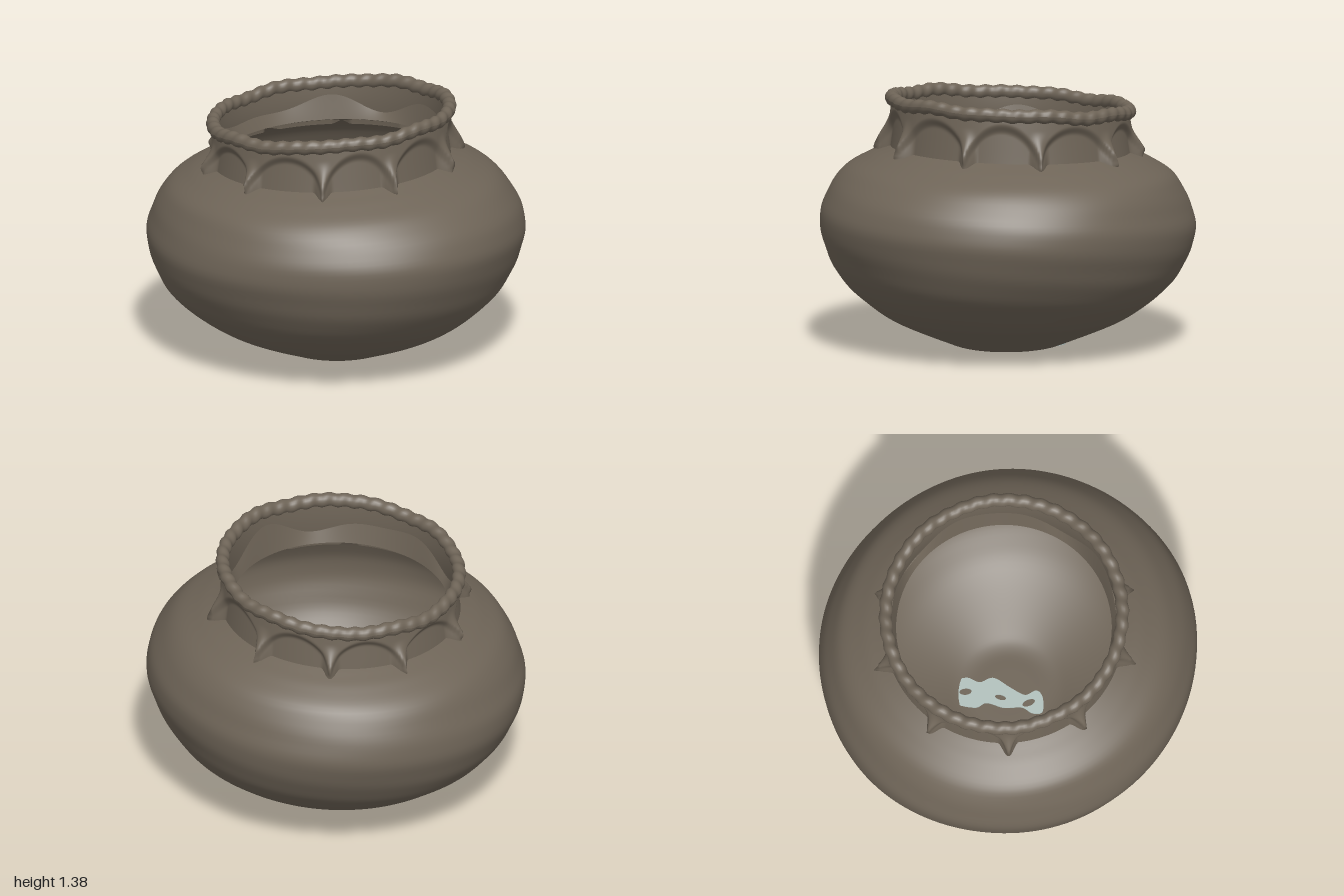
import * as THREE from 'three';

const clay = new THREE.MeshStandardMaterial({ color: 0x6e6457, side: THREE.DoubleSide });
clay.name = 'brown clay';
const pale = new THREE.MeshStandardMaterial({ color: 0xb2c1bd, side: THREE.DoubleSide });
pale.name = 'pale patch';

const step = THREE.MathUtils.smoothstep;

// Hand-made lean: places a ring point (radius, angle, height) on the slightly tilted pot
function place(r, a, y) {
  const up = step(y, 0.75, 1.03);
  const x = r * Math.cos(a) - 0.03 * up;
  const z = r * Math.sin(a) * (0.977 + 0.035 * up) - 0.005;
  const slope = 0.04 * step(y, 0.0, 0.6) + 0.05 * step(y, 1.0, 1.27);
  return [x, y + slope * x, z];
}

// Closed-around surface; f(angle, v) returns [radius, height]
function ringSurface(name, around, rows, f) {
  const pos = [], index = [];
  for (let j = 0; j <= rows; j++) {
    for (let i = 0; i < around; i++) {
      const a = (i / around) * Math.PI * 2;
      const [r, y] = f(a, j / rows);
      pos.push(...place(r, a, y));
    }
  }
  for (let j = 0; j < rows; j++) {
    for (let i = 0; i < around; i++) {
      const n = (i + 1) % around;
      const p = j * around + i, q = j * around + n, s = p + around, t = q + around;
      index.push(p, s, q, q, s, t);
    }
  }
  const g = new THREE.BufferGeometry();
  g.setAttribute('position', new THREE.Float32BufferAttribute(pos, 3));
  g.setIndex(index);
  g.computeVertexNormals();
  const mesh = new THREE.Mesh(g, clay);
  mesh.name = name;
  return mesh;
}

// Rib directions around the neck, in degrees from +x towards +z
const ribs = [24, 57, 94, 130, 167, 204, 238, 273, 312, 346];

// Distance from the middle of an arch (0) to its rib (1)
function archPosition(a) {
  const d = THREE.MathUtils.radToDeg(a);
  for (let i = 0; i < ribs.length; i++) {
    const from = ribs[i];
    const to = i + 1 < ribs.length ? ribs[i + 1] : ribs[0] + 360;
    const e = d < from && i === ribs.length - 1 ? d + 360 : d;
    if (e >= from && e <= to) return Math.abs((2 * (e - from)) / (to - from) - 1);
  }
  return 1;
}

export function createModel() {
  const pot = new THREE.Group();
  pot.name = 'pot';

  // Rounded body, a single shell with gentle hand-worked unevenness
  const profile = new THREE.SplineCurve([
    [0, 0.005], [0.13, 0.005], [0.25, 0.008], [0.36, 0.045], [0.62, 0.155], [0.77, 0.255],
    [0.88, 0.36], [0.955, 0.49], [0.997, 0.645], [0.965, 0.78], [0.87, 0.915],
    [0.75, 0.99], [0.66, 1.03], [0.6, 1.055],
  ].map(([x, y]) => new THREE.Vector2(x, y)));
  pot.add(ringSurface('body', 144, 70, (a, v) => {
    const p = profile.getPoint(v);
    const worked = step(p.y, 0.05, 0.35) * (1 - step(p.y, 0.85, 1.0));
    const bump = Math.sin(a * 5 + p.y * 9) * 0.003 + Math.sin(a * 3 - p.y * 45) * 0.0015;
    return [Math.max(0, p.x + bump * worked), p.y];
  }));

  // Neck with pinched ribs and recessed arches between them
  pot.add(ringSurface('neck', 480, 36, (a, v) => {
    const u = archPosition(a);
    const arch = 0.8 * Math.sqrt(Math.max(0, 1 - u * u));
    const recess = 0.026 * step(arch - v, -0.06, 0.14);
    const foot = 0.06 * step(u, 0.72, 1) * (1 - step(v, 0.02, 0.75));
    return [0.652 - 0.037 * v - recess + foot, 1.02 + 0.25 * v];
  }));

  // Twisted rope-like rim
  pot.add(ringSurface('rim', 400, 20, (a, v) => {
    const b = v * Math.PI * 2;
    const twist = 1 + 0.1 * Math.sin(a * 46 + b * 1);
    const wobble = 0.005 * Math.sin(a * 7 + 1) + 0.003 * Math.sin(a * 11);
    return [0.615 + 0.033 * twist * Math.cos(b), 1.278 + wobble + 0.036 * twist * Math.sin(b)];
  }));

  // Inside wall of the neck
  pot.add(ringSurface('innerNeck', 120, 8, (a, v) => [
    0.597 - 0.006 * Math.sin(v * Math.PI), 1.08 + 0.2 * v,
  ]));

  // Ragged clay collar around the throat
  pot.add(ringSurface('innerCollar', 160, 8, (a, v) => {
    const top = 1.165 + 0.035 * Math.sin(a * 5 + 0.6) + 0.02 * Math.sin(a * 8);
    return [0.56 + 0.025 * v, THREE.MathUtils.lerp(1.07, top, v)];
  }));

  // Pale patch in the base, showing inside and underneath
  const outline = [
    [-0.15, -0.24], [-0.1, -0.21], [-0.07, -0.15], [0, -0.12], [0.03, -0.02], [0.06, 0.06],
    [0.12, 0.08], [0.12, 0.13], [0.065, 0.19], [0.02, 0.16], [0, 0.1], [-0.07, 0.04],
    [-0.12, -0.04], [-0.18, -0.06], [-0.25, -0.15], [-0.24, -0.2], [-0.2, -0.235],
  ].map(([x, z]) => new THREE.Vector2(x, -z));
  const patchShape = new THREE.Shape();
  patchShape.moveTo(outline[0].x, outline[0].y);
  patchShape.splineThru([...outline.slice(1), outline[0]]);
  for (const [x, z, w, h, turn] of [
    [-0.16, -0.16, 0.032, 0.018, -0.6], [-0.045, -0.015, 0.03, 0.014, -1.0], [0.045, 0.105, 0.035, 0.018, -0.3],
  ]) {
    const hole = new THREE.Path();
    hole.absellipse(x, -z, w, h, 0, Math.PI * 2, true, turn);
    patchShape.holes.push(hole);
  }
  const patchGeometry = new THREE.ExtrudeGeometry(patchShape, { depth: 0.0095, bevelEnabled: false, curveSegments: 10 });
  patchGeometry.rotateX(-Math.PI / 2);
  patchGeometry.translate(0, 0.001, 0);
  const patch = new THREE.Mesh(patchGeometry, pale);
  patch.name = 'basePatch';
  pot.add(patch);

  return pot;
}
